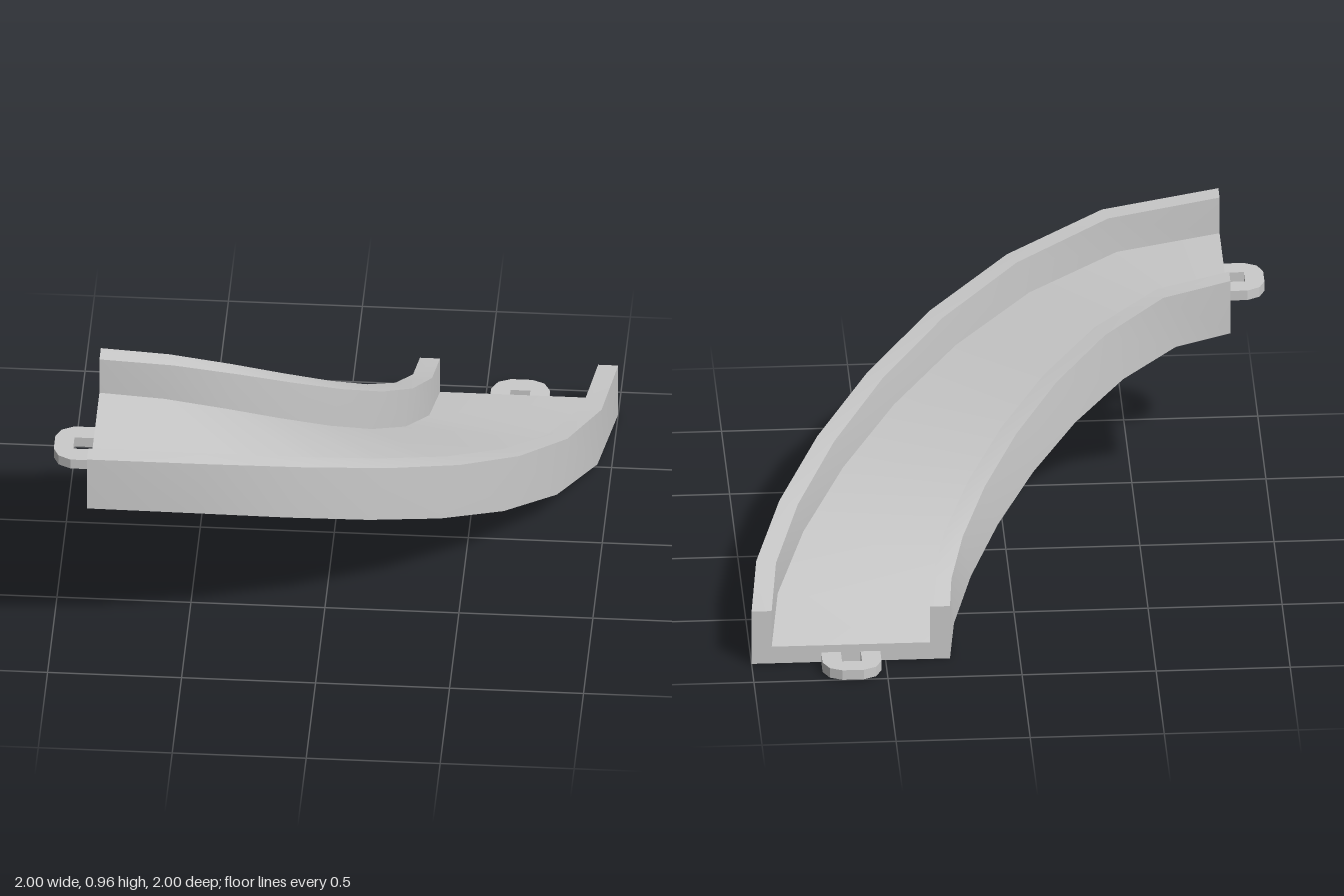
import * as THREE from 'three';

const RISE = 0.745, MID = 0.63, END = -0.853, STEPS = 8;
const material = new THREE.MeshStandardMaterial({ color: 0xcccccc });

// Centre line of the underside: a quarter turn that climbs smoothly
const path = new THREE.CubicBezierCurve3(
  new THREE.Vector3(MID, 0, END),
  new THREE.Vector3(MID, 0, END + 0.74),
  new THREE.Vector3(END + 0.74, RISE, MID),
  new THREE.Vector3(END, RISE, MID)
);

// U-shaped channel section (across, up), counter-clockwise
const W = 0.37, I = 0.295, H = 0.22, F = 0.07;
const section = [
  [-W, 0], [W, 0], [W, H], [I, H], [I, F], [-I, F], [-I, H], [-W, H],
].map(([x, y]) => new THREE.Vector2(x, y));

// Section placed square to the path at each step
function makeRings() {
  const rings = [];
  for (let i = 0; i <= STEPS; i++) {
    const p = path.getPointAt(i / STEPS);
    const t = path.getTangentAt(i / STEPS);
    const side = new THREE.Vector3(0, 1, 0).cross(t).normalize();
    const up = t.clone().cross(side);
    rings.push(section.map((s) => p.clone().addScaledVector(side, s.x).addScaledVector(up, s.y)));
  }
  return rings;
}

// Each side is its own strip: smooth along the track, sharp at the section corners
function channelGeometry() {
  const rings = makeRings(), pos = [], index = [];
  const n = section.length;
  const add = (v) => pos.push(v.x, v.y, v.z) / 3 - 1;
  for (let k = 0; k < n; k++) {
    const base = pos.length / 3;
    rings.forEach((r) => { add(r[k]); add(r[(k + 1) % n]); });
    for (let i = 0; i < STEPS; i++) {
      const a = base + i * 2, b = a + 1, d = a + 2, c = a + 3;
      index.push(a, b, c, a, c, d);
    }
  }
  // End caps
  const tris = THREE.ShapeUtils.triangulateShape(section, []);
  [[rings[0], true], [rings[STEPS], false]].forEach(([ring, flip]) => {
    const base = pos.length / 3;
    ring.forEach(add);
    tris.forEach(([a, b, c]) =>
      index.push(base + a, base + (flip ? c : b), base + (flip ? b : c)));
  });
  const g = new THREE.BufferGeometry();
  g.setAttribute('position', new THREE.Float32BufferAttribute(pos, 3));
  g.setIndex(index);
  g.computeVertexNormals();
  return g;
}

// Flat U-shaped loop, pointing along +y of its outline, laid down to point along -z
function loopGeometry() {
  const half = [[0.11, 0], [0.11, 0.08], [0.086, 0.126], [0.04, 0.147]];
  const outline = [
    ...half,
    ...half.map(([x, y]) => [-x, y]).reverse(),
    [-0.037, 0], [-0.037, 0.075], [0.037, 0.075], [0.037, 0],
  ].map(([x, y]) => new THREE.Vector2(x, y));
  const g = new THREE.ExtrudeGeometry(new THREE.Shape(outline), { depth: 0.04, bevelEnabled: false });
  return g.rotateX(-Math.PI / 2);
}

export function createModel() {
  const model = new THREE.Group();
  model.name = 'curvedTrackRamp';

  const channel = new THREE.Mesh(channelGeometry(), material);
  channel.name = 'channel';
  model.add(channel);

  const loop = loopGeometry();
  const lower = new THREE.Mesh(loop, material);
  lower.name = 'lowerConnector';
  lower.position.set(MID, 0, END);

  const upper = new THREE.Mesh(loop, material);
  upper.name = 'upperConnector';
  upper.position.set(END, RISE, MID);
  upper.rotation.y = Math.PI / 2;

  model.add(lower, upper);
  return model;
}
